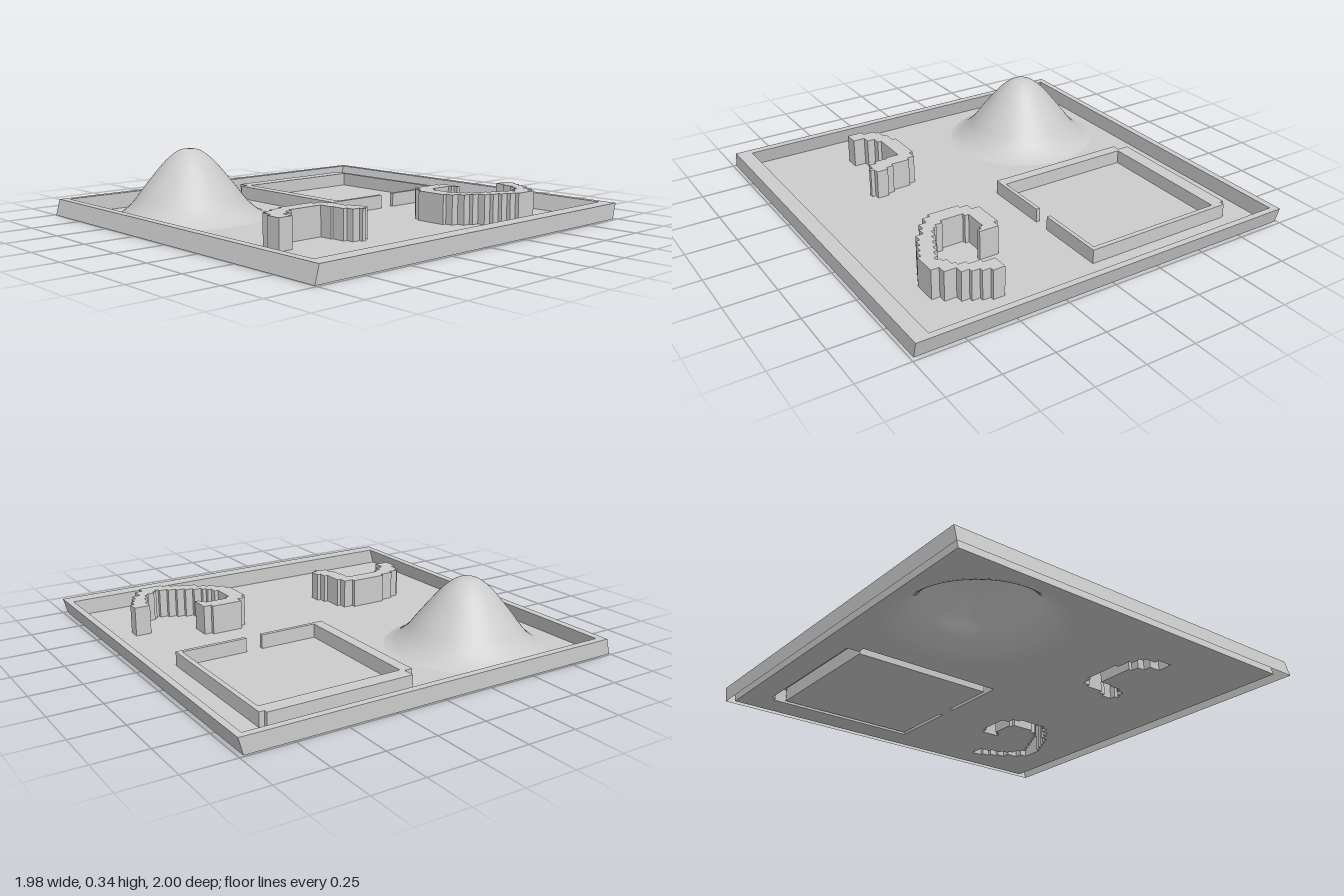
import * as THREE from 'three';
import { mergeGeometries } from 'three/addons/utils/BufferGeometryUtils.js';

const material = new THREE.MeshStandardMaterial({ color: 0xcccccc, side: THREE.DoubleSide });

// Right-angled outline from alternating x, z values, clockwise from above
function steps(values) {
  const points = [];
  for (let i = 0; i < values.length; i += 2) {
    const z = values[i + 1];
    points.push([values[i], z], [values[(i + 2) % values.length], z]);
  }
  return points;
}

const rectangle = (x0, z0, x1, z1) => steps([x0, z0, x1, z1]);
const toVectors = (points) => points.map(([x, z]) => new THREE.Vector2(x, -z));

// Flat horizontal sheet with holes
function sheet(outline, holes, y) {
  const shape = new THREE.Shape(toVectors(outline));
  for (const hole of holes) shape.holes.push(new THREE.Path(toVectors(hole)));
  return new THREE.ShapeGeometry(shape).rotateX(-Math.PI / 2).translate(0, y, 0).toNonIndexed();
}

// Upright band along an outline; lean moves the foot in z
function band(outline, height, lean) {
  const positions = [], uvs = [];
  outline.forEach(([ax, az], i) => {
    const [bx, bz] = outline[(i + 1) % outline.length];
    const a = [ax, 0, az + lean], b = [bx, 0, bz + lean];
    const aTop = [ax, height, az], bTop = [bx, height, bz];
    positions.push(...a, ...aTop, ...bTop, ...a, ...bTop, ...b);
    uvs.push(0, 0, 0, 1, 1, 1, 0, 0, 1, 1, 1, 0);
  });
  const geometry = new THREE.BufferGeometry();
  geometry.setAttribute('position', new THREE.Float32BufferAttribute(positions, 3));
  geometry.setAttribute('uv', new THREE.Float32BufferAttribute(uvs, 2));
  geometry.computeVertexNormals();
  return geometry;
}

// Hollow raised wall: a top sheet and its sides, open below
function raised(outline, height, holes = [], lean = 0) {
  const sides = [outline, ...holes.map((h) => [...h].reverse())].map((o) => band(o, height, lean));
  return mergeGeometries([sheet(outline, holes, height), ...sides]);
}

export function createModel() {
  const model = new THREE.Group();
  const add = (name, geometry) => {
    const mesh = new THREE.Mesh(geometry, material);
    mesh.name = name;
    model.add(mesh);
    return mesh;
  };

  // Leaning rim around the tray
  const lean = 0.022;
  add('rim', raised(rectangle(-0.99, -1, 0.985, 0.976), 0.08,
    [rectangle(-0.955, -0.967, 0.91, 0.936)], lean));

  // Square enclosure with a gap in its right-hand wall
  const enclosure = steps([
    -0.81, -0.81, -0.02, -0.45, -0.04, -0.785, -0.755, -0.07,
    -0.04, -0.365, -0.02, -0.015, -0.77, -0.055, -0.83, -0.785,
  ]);
  add('squareEnclosure', raised(enclosure, 0.07));

  // Hook-shaped wall
  const hook = steps([
    0.45, -0.81, 0.51, -0.79, 0.55, -0.77, 0.59, -0.75, 0.63, -0.71, 0.69, -0.67,
    0.73, -0.55, 0.71, -0.51, 0.69, -0.47, 0.67, -0.43, 0.65, -0.39, 0.61, -0.35,
    0.59, -0.31, 0.55, -0.27, 0.51, -0.25, 0.35, -0.27, 0.31, -0.31, 0.27, -0.47,
    0.29, -0.51, 0.39, -0.49, 0.37, -0.47, 0.35, -0.35, 0.37, -0.33, 0.49, -0.35,
    0.53, -0.37, 0.55, -0.39, 0.57, -0.43, 0.59, -0.47, 0.61, -0.51, 0.63, -0.55,
    0.65, -0.59, 0.67, -0.61, 0.65, -0.63, 0.63, -0.67, 0.61, -0.69, 0.57, -0.71,
    0.51, -0.73,
  ]);
  add('hookWall', raised(hook, 0.147));

  // Small crescent wall
  const crescent = steps([
    0.45, 0.26, 0.51, 0.29, 0.53, 0.31, 0.51, 0.35, 0.47, 0.37, 0.4, 0.38,
    0.33, 0.57, 0.35, 0.61, 0.39, 0.65, 0.45, 0.725, 0.37, 0.7, 0.31, 0.68,
    0.29, 0.63, 0.27, 0.56, 0.25, 0.37, 0.27, 0.32, 0.31, 0.3, 0.41, 0.28,
  ]);
  add('crescentWall', raised(crescent, 0.147));

  // Smooth hollow hill
  const hillX = -0.515, hillZ = 0.505, hillRadius = 0.395, sides = 64;
  const profile = new THREE.SplineCurve([
    [hillRadius, 0], [0.36, 0.014], [0.32, 0.043], [0.283, 0.08], [0.24, 0.137],
    [0.19, 0.2], [0.13, 0.272], [0.085, 0.313], [0.045, 0.337], [0, 0.342],
  ].map(([r, y]) => new THREE.Vector2(r, y))).getPoints(36);
  const hill = add('hill', new THREE.LatheGeometry(profile, sides));
  hill.position.set(hillX, 0, hillZ);

  // Floor sheet, open under every raised part
  const hillFoot = Array.from({ length: sides }, (_, i) => {
    const angle = (i / sides) * Math.PI * 2;
    return [hillX + hillRadius * Math.sin(angle), hillZ + hillRadius * Math.cos(angle)];
  });
  add('floor', sheet(rectangle(-0.955, -0.967 + lean, 0.91, 0.936 + lean),
    [enclosure, hook, crescent, hillFoot], 0));

  return model;
}
